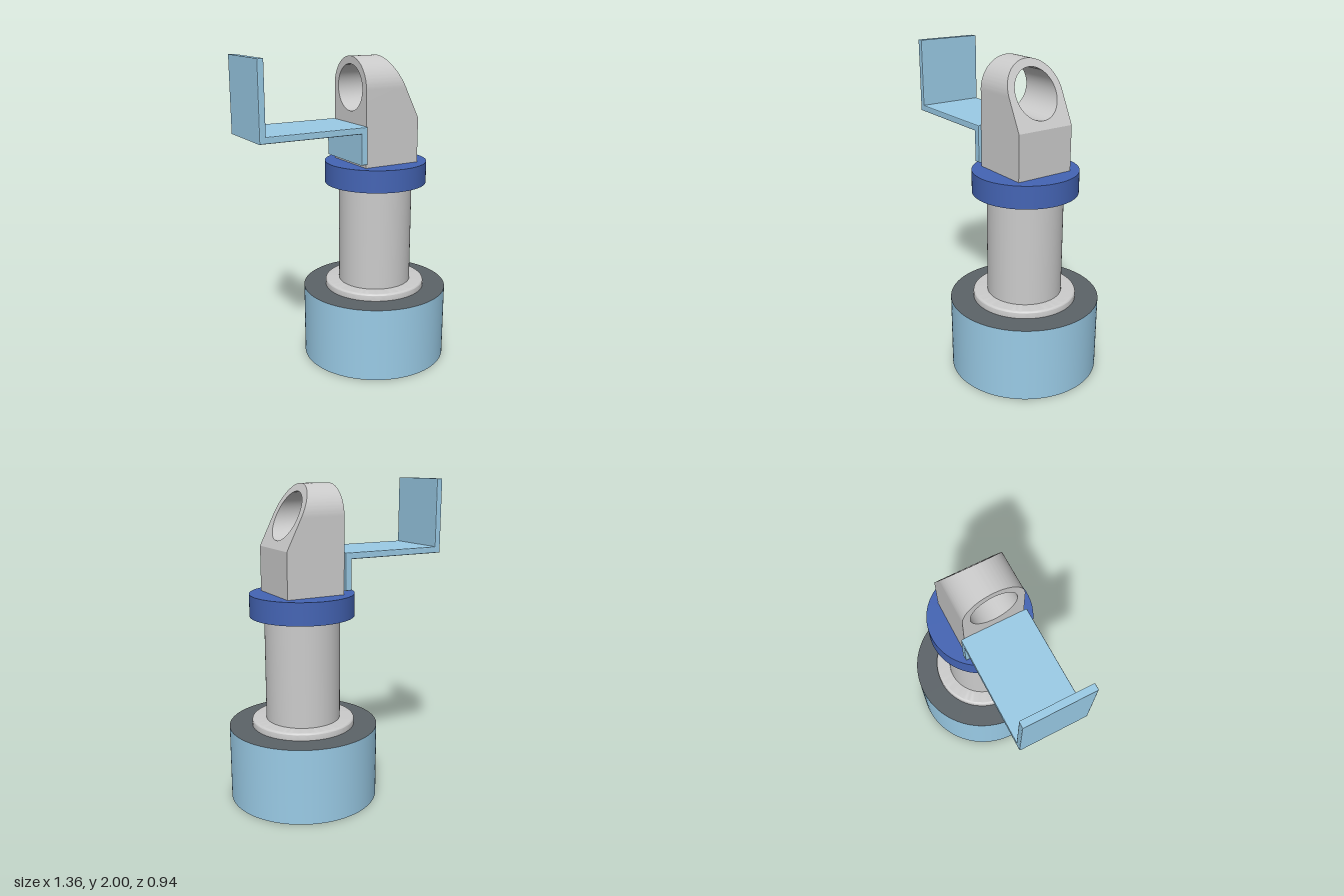
import * as THREE from 'three';
import { toCreasedNormals } from 'three/addons/utils/BufferGeometryUtils.js';

const AXIS = 0.21; // x of the column axis
const mat = (color) => new THREE.MeshStandardMaterial({ color });

export function createModel() {
  const model = new THREE.Group();
  const grey = mat(0xcccccc);
  const paleBlue = mat(0x9acbe6);
  const blue = mat(0x4464b4);
  const dark = mat(0x5c6368);

  const add = (name, geometry, material, x = 0, y = 0) => {
    const mesh = new THREE.Mesh(geometry, material);
    mesh.name = name;
    mesh.position.set(x, y, 0);
    model.add(mesh);
  };
  const disc = (name, r, y0, y1, material) =>
    add(name, new THREE.CylinderGeometry(r, r, y1 - y0, 96), material, AXIS, (y0 + y1) / 2);

  // Round base with dark end faces
  disc('base', 0.47, 0, 0.475, [paleBlue, dark, dark]);

  // Flange with a rounded top edge
  const flange = new THREE.Path();
  flange.moveTo(0.325, 0.475);
  flange.lineTo(0.325, 0.505);
  flange.absarc(0.31, 0.505, 0.015, 0, Math.PI / 2, false);
  flange.lineTo(0.2, 0.52);
  add('flange', toCreasedNormals(new THREE.LatheGeometry(flange.getPoints(6), 96), 0.5), grey, AXIS);

  disc('column', 0.235, 0.5, 1.18, grey);
  disc('collar', 0.325, 1.18, 1.32, blue);

  // Square lower part of the head
  const x0 = 0.02, x1 = 0.4, half = 0.19, shoulder = 1.6, eyeY = 1.79, top = 1.98;
  add('headBlock', new THREE.BoxGeometry(x1 - x0, shoulder - 1.32, half * 2), grey,
    AXIS, (shoulder + 1.32) / 2);

  // Arched eye: extruded along x, its outer end slanted back to the crown
  const arch = new THREE.Shape();
  arch.moveTo(-half, shoulder);
  arch.lineTo(half, shoulder);
  arch.lineTo(half, eyeY);
  arch.absarc(0, eyeY, half, 0, Math.PI, false);
  arch.closePath();
  const bore = new THREE.Path();
  bore.absarc(0, eyeY, 0.143, 0, Math.PI * 2, true);
  arch.holes.push(bore);
  const eye = new THREE.ExtrudeGeometry(arch, { depth: x1 - x0, bevelEnabled: false, curveSegments: 40 });
  eye.rotateY(Math.PI / 2).translate(x0, 0, 0);
  const p = eye.attributes.position;
  for (let i = 0; i < p.count; i++) {
    if (p.getX(i) > AXIS) p.setX(i, x1 - (x1 - AXIS) * (p.getY(i) - shoulder) / (top - shoulder));
  }
  add('headEye', toCreasedNormals(eye, 0.5), grey);

  // Stepped bracket with small chamfered edges
  const outline = [[0.02, 1.345], [0.02, 1.575], [-0.64, 1.575], [-0.64, 2], [-0.68, 2],
    [-0.68, 1.535], [-0.022, 1.535], [-0.022, 1.345]];
  const step = new THREE.Shape(outline.map(([x, y]) => new THREE.Vector2(x, y)));
  const bevel = 0.006, width = 0.42;
  const bracket = new THREE.ExtrudeGeometry(step, {
    depth: width - 2 * bevel, bevelSize: bevel, bevelThickness: bevel, bevelOffset: -bevel, bevelSegments: 2,
  });
  bracket.translate(0, 0, bevel - width / 2);
  add('bracket', bracket, paleBlue);

  return model;
}
